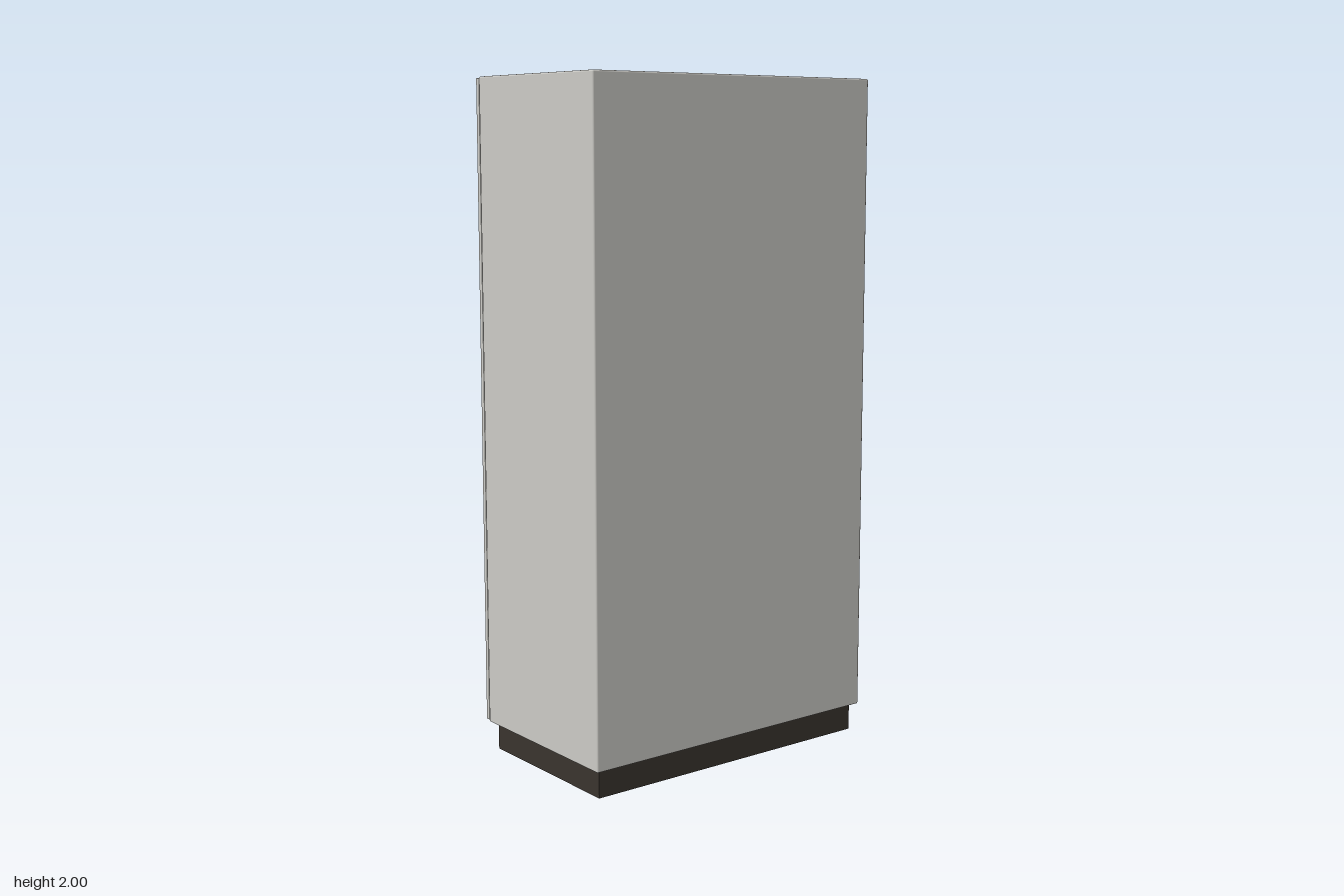
import * as THREE from 'three';
import { RoundedBoxGeometry } from 'three/addons/geometries/RoundedBoxGeometry.js';

const paint = new THREE.MeshStandardMaterial({ color: 0xcbcac5 });
const plinthPaint = new THREE.MeshStandardMaterial({ color: 0x3a342e });
const handleMetal = new THREE.MeshStandardMaterial({ color: 0x2a2a2a });

// Mesh spanning the box from min to max, with optional softened edges
function block(name, min, max, material, bevel = 0) {
  const size = max.map((v, i) => v - min[i]);
  const geometry = bevel
    ? new RoundedBoxGeometry(...size, 2, bevel)
    : new THREE.BoxGeometry(...size);
  const mesh = new THREE.Mesh(geometry, material);
  mesh.name = name;
  mesh.position.set(...max.map((v, i) => (v + min[i]) / 2));
  return mesh;
}

export function createModel() {
  const cabinet = new THREE.Group();
  cabinet.name = 'cabinet';

  // Recessed plinth and main carcass
  cabinet.add(block('plinth', [-0.48, 0, -0.24], [0.48, 0.085, 0.28], plinthPaint));
  cabinet.add(block('body', [-0.5, 0.083, -0.262], [0.5, 2, 0.3], paint, 0.005));

  // Mirrored pair of doors, each with a vertical bar handle
  for (const side of [-1, 1]) {
    const label = side > 0 ? 'left' : 'right';
    const door = new THREE.Group();
    door.name = label + 'Door';

    const xs = [side * 0.003, side * 0.497].sort((a, b) => a - b);
    door.add(block(label + 'DoorPanel', [xs[0], 0.087, -0.281], [xs[1], 1.996, -0.265], paint, 0.002));

    // Hidden spacer joining the panel to the carcass
    door.add(block(label + 'DoorSpacer',
      [xs[0] + 0.01, 0.1, -0.267], [xs[1] - 0.01, 1.985, -0.26], paint));

    const handle = new THREE.Mesh(new THREE.CylinderGeometry(0.0095, 0.0095, 0.7, 20), handleMetal);
    handle.name = label + 'Handle';
    handle.position.set(side * 0.06, 1.04, -0.2905);
    door.add(handle);
    cabinet.add(door);
  }

  return cabinet;
}
